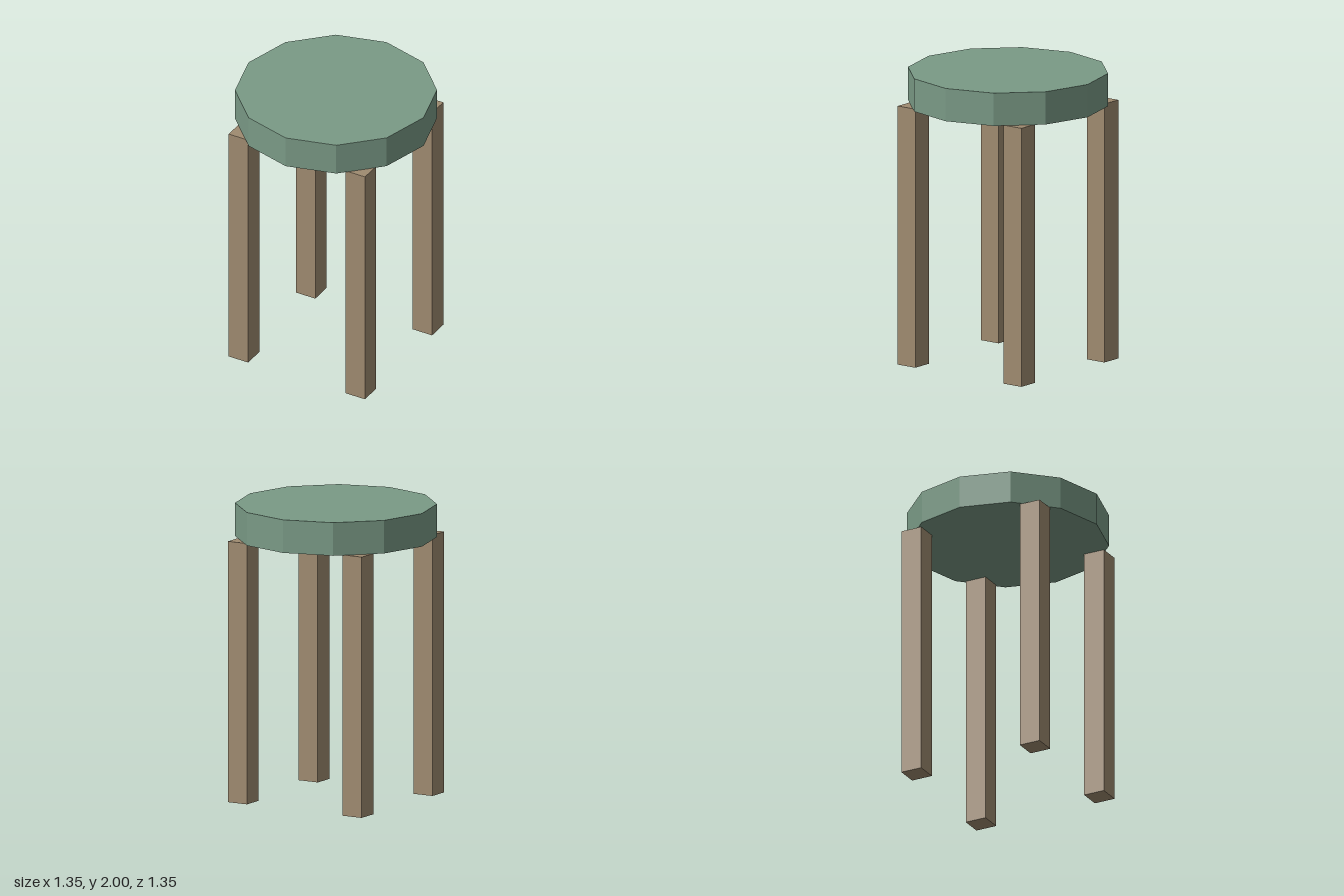
import * as THREE from 'three';

export function createModel() {
  const stool = new THREE.Group();
  stool.name = 'stool';

  const seatGreen = new THREE.MeshStandardMaterial({ color: 0x7a9a86, flatShading: true });
  seatGreen.name = 'sage green';
  const legWood = new THREE.MeshStandardMaterial({ color: 0x9f8b70, flatShading: true });
  legWood.name = 'light wood';

  const legHeight = 1.775, seatHeight = 0.225, legWidth = 0.15, legOffset = 0.45;

  // Twelve-sided seat with corners on the x and z axes
  const seat = new THREE.Mesh(new THREE.CylinderGeometry(0.675, 0.675, seatHeight, 12), seatGreen);
  seat.name = 'seat';
  seat.position.y = legHeight + seatHeight / 2;
  stool.add(seat);

  // Four square legs, their outer corners peeking past the seat
  const legGeometry = new THREE.BoxGeometry(legWidth, legHeight, legWidth);
  for (const [zName, z] of [['front', 1], ['back', -1]]) {
    for (const [xName, x] of [['Left', 1], ['Right', -1]]) {
      const leg = new THREE.Mesh(legGeometry, legWood);
      leg.name = `${zName}${xName}Leg`;
      leg.position.set(x * legOffset, legHeight / 2, z * legOffset);
      stool.add(leg);
    }
  }

  return stool;
}
